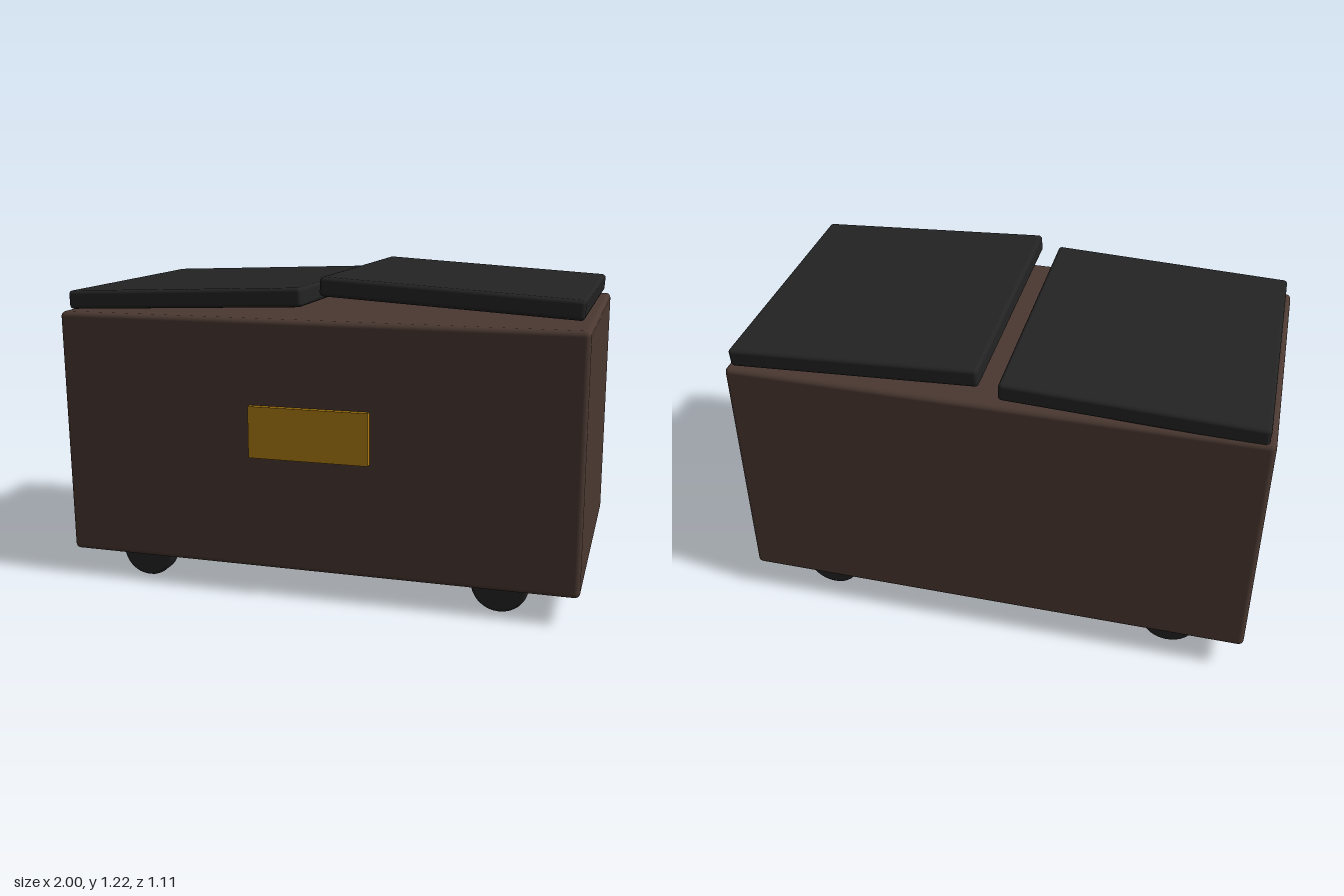
import * as THREE from 'three';
import { RoundedBoxGeometry } from 'three/addons/geometries/RoundedBoxGeometry.js';

export function createModel() {
  const model = new THREE.Group();
  model.name = 'storageChest';

  const material = (name, color) => {
    const m = new THREE.MeshStandardMaterial({ color });
    m.name = name;
    return m;
  };
  const brown = material('darkBrown', 0x4a3831);
  const black = material('softBlack', 0x232323);
  const brass = material('brass', 0xae7c10);

  const add = (name, geometry, mat, x, y, z) => {
    const mesh = new THREE.Mesh(geometry, mat);
    mesh.name = name;
    mesh.position.set(x, y, z);
    model.add(mesh);
    return mesh;
  };

  // Chest body, leaning slightly forward
  const body = add('body', new RoundedBoxGeometry(2, 0.96, 1.076, 3, 0.02), brown, 0, 0.595, -0.007);
  body.rotation.x = 0.0205;

  // Two lid panels, each raised towards the middle
  const lid = new RoundedBoxGeometry(0.942, 0.071, 1.037, 3, 0.015);
  add('rightLid', lid, black, -0.505, 1.124, -0.007).rotation.z = 0.04;
  add('leftLid', lid, black, 0.505, 1.157, -0.007).rotation.z = -0.06;

  // Front plate
  add('frontPlate', new THREE.BoxGeometry(0.46, 0.196, 0.04), brass, 0, 0.643, 0.537);

  // Wheels with bevelled rims, axles along z
  const r = 0.108, h = 0.035, b = 0.012;
  const profile = [[0, -h], [r - b, -h], [r - b, -h], [r - b * 0.3, -h + b * 0.3], [r, -h + b],
    [r, h - b], [r - b * 0.3, h - b * 0.3], [r - b, h], [r - b, h], [0, h]]
    .map(([x, y]) => new THREE.Vector2(x, y));
  const wheel = new THREE.LatheGeometry(profile, 32).rotateX(Math.PI / 2);
  for (const [side, x] of [['Right', -0.705], ['Left', 0.705]]) {
    add('front' + side + 'Wheel', wheel, black, x, r, 0.426);
    add('back' + side + 'Wheel', wheel, black, x, r, -0.439);
  }

  return model;
}
